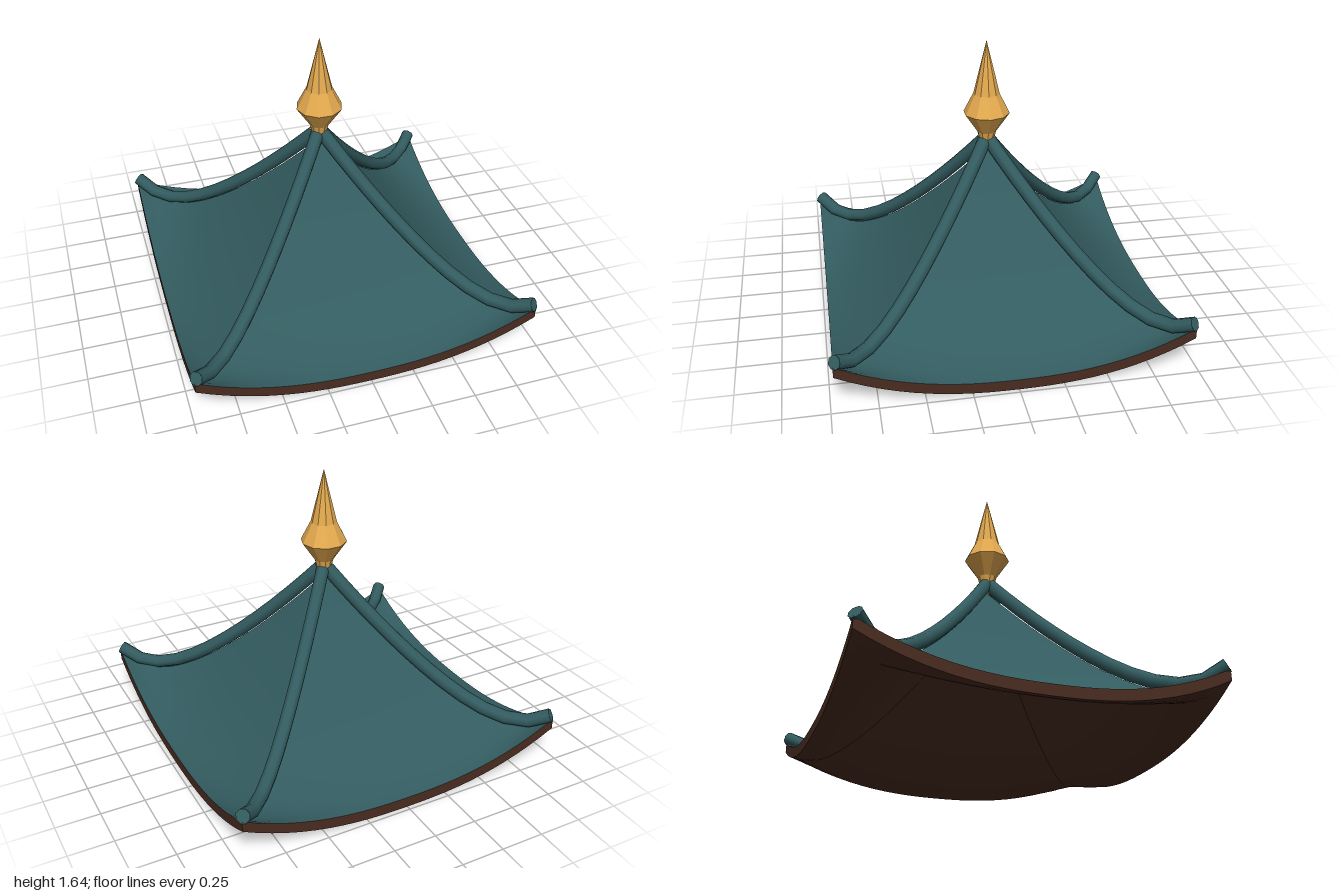
import * as THREE from 'three';

const EAVE = 0.975;      // half width of the square roof
const THICK = 0.062;     // roof shell thickness

// Roof height: t runs from apex (0) to eave (1), a runs across a face (-1..1)
function height(t, a) {
  const slope = 0.063 + 0.937 * Math.pow(Math.max(0, 1 - t), 1.55);
  return slope + 0.205 * Math.pow(Math.abs(a), 2.4) * Math.pow(t, 6.5);
}

// Plane whose vertices are moved by rule(a, v): a in -1..1 across, v in 0..1 downwards
function sheet(cols, rows, rule) {
  const geo = new THREE.PlaneGeometry(2, 1, cols, rows);
  const pos = geo.attributes.position;
  for (let i = 0; i < pos.count; i++) {
    pos.setXYZ(i, ...rule(pos.getX(i), 0.5 - pos.getY(i)));
  }
  geo.computeVertexNormals();
  return geo;
}

export function createModel() {
  const model = new THREE.Group();
  const teal = new THREE.MeshStandardMaterial({ color: 0x335c60 });
  const brown = new THREE.MeshStandardMaterial({ color: 0x4a2c20 });
  const gold = new THREE.MeshStandardMaterial({ color: 0xe3a94f, flatShading: true });

  const add = (parent, name, geo, mat) => {
    const mesh = new THREE.Mesh(geo, mat);
    mesh.name = name;
    parent.add(mesh);
    return mesh;
  };

  // One roof side: tiled top, underside (mirrored to face down) and eave board
  const topGeo = sheet(24, 24, (a, t) => [a * t * EAVE, height(t, a), t * EAVE]);
  const underGeo = sheet(24, 24, (a, t) => [-a * t * EAVE, height(t, a) - THICK, t * EAVE]);
  const boardGeo = sheet(24, 1, (a, v) => [a * EAVE, height(1, a) - v * THICK, EAVE]);

  // Hip ridge: a tube along the diagonal, lifted off the roof surface
  const RADIUS = 0.04;
  const points = [];
  for (let i = 0; i <= 10; i++) {
    const t = 0.015 + 0.975 * i / 10;
    points.push(new THREE.Vector3(t * EAVE, height(t, 1) + 0.036 + 0.03 * (1 - t), t * EAVE));
  }
  const path = new THREE.CatmullRomCurve3(points);
  const ridgeGeo = new THREE.TubeGeometry(path, 12, RADIUS, 8);
  const capGeo = new THREE.CircleGeometry(RADIUS, 8);

  for (let i = 0; i < 4; i++) {
    const side = new THREE.Group();
    side.name = 'roofSide' + (i + 1);
    side.rotation.y = i * Math.PI / 2;
    add(side, 'roofTop', topGeo, teal);
    add(side, 'roofUnderside', underGeo, brown);
    add(side, 'eaveBoard', boardGeo, brown);
    add(side, 'hipRidge', ridgeGeo, teal);
    // Closed ends of the ridge
    for (const end of [0, 1]) {
      const cap = add(side, 'ridgeEnd', capGeo, teal);
      const out = path.getTangentAt(end).multiplyScalar(end ? 1 : -1);
      cap.position.copy(path.getPointAt(end));
      cap.quaternion.setFromUnitVectors(new THREE.Vector3(0, 0, 1), out);
    }
    model.add(side);
  }

  // Pointed finial on the apex
  const profile = [[0, 0.99], [0.03, 1.0], [0.055, 1.1], [0.133, 1.215], [0.075, 1.33], [0, 1.64]]
    .map(([r, y]) => new THREE.Vector2(r, y));
  const finial = add(model, 'finial', new THREE.LatheGeometry(profile, 10), gold);
  finial.rotation.y = Math.PI / 2;

  return model;
}
